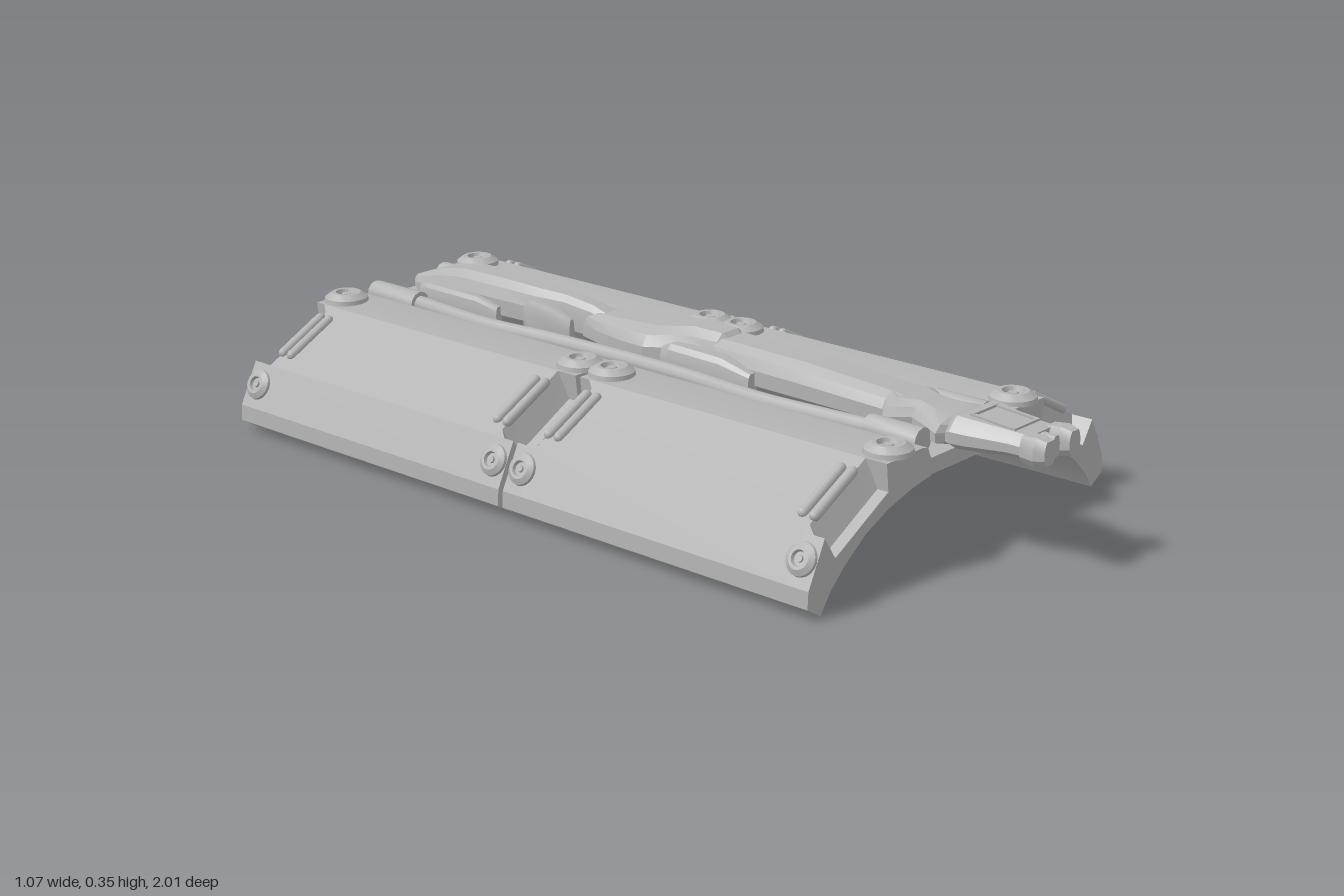
import * as THREE from 'three';
import { toCreasedNormals } from 'three/addons/utils/BufferGeometryUtils.js';

const grey = new THREE.MeshStandardMaterial({ color: 0xb4b4b4 });
grey.name = 'plain grey';

function add(parent, name, geometry) {
  const mesh = new THREE.Mesh(geometry, grey);
  mesh.name = name;
  parent.add(mesh);
  return mesh;
}

// Closed solid through counter-clockwise [x, y] sections, stations ordered by rising z
function loft(stations, crease = 0.4) {
  const pos = [], idx = [], n = stations[0].points.length;
  for (const s of stations) for (const [x, y] of s.points) pos.push(x, y, s.z);
  for (let s = 0; s < stations.length - 1; s++) {
    for (let i = 0; i < n; i++) {
      const a = s * n + i, b = s * n + (i + 1) % n;
      idx.push(a, b, b + n, a, b + n, a + n);
    }
  }
  const last = (stations.length - 1) * n;
  const cap = (s) => THREE.ShapeUtils.triangulateShape(s.points.map(([x, y]) => new THREE.Vector2(x, y)), []);
  for (const [a, b, c] of cap(stations[0])) idx.push(a, c, b);
  for (const [a, b, c] of cap(stations[stations.length - 1])) idx.push(last + a, last + b, last + c);
  const g = new THREE.BufferGeometry();
  g.setAttribute('position', new THREE.Float32BufferAttribute(pos, 3));
  g.setIndex(idx);
  return toCreasedNormals(g, crease);
}

// Bevelled body from rows of [z, halfWidth, bottom, top]; cx shifts it sideways
function body(rows, cx = 0, flat = 0.5) {
  return loft(rows.map(([z, w, y0, y1]) => {
    const h = y1 - y0, m = w * flat;
    return { z, points: [
      [cx - m, y0], [cx + m, y0], [cx + w, y0 + h * 0.25], [cx + w, y0 + h * 0.6],
      [cx + w * 0.83, y0 + h * 0.85], [cx + m, y1], [cx - m, y1], [cx - w * 0.83, y0 + h * 0.85],
      [cx - w, y0 + h * 0.6], [cx - w, y0 + h * 0.25]] };
  }), 0.35);
}

// Underside of the arch
const inner = [[0.13, 0.201], [0.2, 0.189], [0.275, 0.168], [0.35, 0.135], [0.42, 0.085], [0.465, 0.042], [0.495, 0]];

// Wing section, with or without the end notch
function wingPoints(side, notched) {
  const notch = notched ? [[0.45, 0.112], [0.278, 0.205]] : [[0.465, 0.175], [0.305, 0.257]];
  const pts = [...inner, [0.537, 0.026], [0.535, 0.065], [0.485, 0.165], ...notch,
    [0.285, 0.268], [0.165, 0.27], [0.145, 0.266], [0.13, 0.235]];
  return side > 0 ? pts : pts.map(([x, y]) => [-x, y]).reverse();
}

const boltProfile = [[0.055, 0], [0.053, 0.011], [0.036, 0.023], [0.026, 0.023], [0.022, 0.012], [0.012, 0.012], [0.011, 0.019], [0, 0.019]]
  .map(([x, y]) => new THREE.Vector2(x, y)).reverse();
const boltGeometry = new THREE.LatheGeometry(boltProfile.slice().reverse(), 20);
const bolt = toCreasedNormals(boltGeometry, 0.4);

function addBolt(parent, x, y, z, tilt, scale) {
  const m = add(parent, 'bolt', bolt);
  m.position.set(x, y, z);
  m.rotation.z = tilt;
  m.scale.setScalar(scale);
}

function buildPlate(z0, z1, holeZ) {
  const plate = new THREE.Group();
  plate.name = 'armourPlate';

  // Middle channel with a round hole
  const shape = new THREE.Shape([[-0.14, z0], [0.14, z0], [0.14, z1], [-0.14, z1]].map(([x, y]) => new THREE.Vector2(x, y)));
  const hole = new THREE.Path();
  hole.absarc(0, holeZ, 0.112, 0, Math.PI * 2, true);
  shape.holes.push(hole);
  const slab = new THREE.ExtrudeGeometry(shape, { depth: 0.037, bevelEnabled: false, curveSegments: 24 });
  slab.rotateX(Math.PI / 2);
  add(plate, 'channelFloor', slab).position.y = 0.24;

  for (const side of [1, -1]) {
    const full = wingPoints(side, false), cut = wingPoints(side, true);
    add(plate, 'wing', loft([
      { z: z0, points: cut }, { z: z0 + 0.028, points: cut }, { z: z0 + 0.055, points: full },
      { z: z1 - 0.055, points: full }, { z: z1 - 0.028, points: cut }, { z: z1, points: cut }]));

    for (const [end, dir] of [[z0, 1], [z1, -1]]) {
      addBolt(plate, side * 0.225, 0.268, end + dir * 0.042, 0, 1);
      addBolt(plate, side * 0.508, 0.117, end + dir * 0.038, -side * 1.1, 0.68);
      // Grip bars beside each notch
      for (const inset of [0.058, 0.088]) {
        const bar = add(plate, 'gripBar', new THREE.CapsuleGeometry(0.012, 0.135, 4, 10));
        bar.position.set(side * 0.385, 0.218, end + dir * inset);
        bar.rotation.z = side * (Math.PI / 2 - 0.473);
      }
    }

    // Underside ribs following the arch
    for (const t of [0.3, 0.42]) {
      const z = z0 + (z1 - z0) * t;
      const rib = inner.slice(2, 5);
      const points = [...rib.map(([x, y]) => [x - 0.004, y - 0.006]), ...rib.slice().reverse()];
      const p = side > 0 ? points : points.map(([x, y]) => [-x, y]).reverse();
      add(plate, 'undersideRib', loft([{ z, points: p }, { z: z + 0.012, points: p }]));
    }
    // Underside panel border
    const border = add(plate, 'panelBorder', new THREE.BoxGeometry(0.008, 0.006, z1 - z0 - 0.12));
    border.position.set(side * 0.165, 0.194, (z0 + z1) / 2);
  }
  for (const z of [z0 + 0.06, z1 - 0.06]) {
    add(plate, 'panelBorder', new THREE.BoxGeometry(0.27, 0.006, 0.008)).position.set(0, 0.201, z);
  }
  return plate;
}

function buildCentrepiece() {
  const g = new THREE.Group();
  g.name = 'centrepiece';

  // Long rounded front shaft and its collars
  add(g, 'frontShaft', body([[0.06, 0.05, 0.24, 0.335], [0.1, 0.066, 0.24, 0.342], [0.35, 0.07, 0.24, 0.338],
    [0.58, 0.068, 0.24, 0.325], [0.66, 0.055, 0.24, 0.31], [0.78, 0.05, 0.245, 0.3]]));
  add(g, 'shaftCollar', body([[0.58, 0.06, 0.24, 0.325], [0.61, 0.1, 0.24, 0.318], [0.66, 0.06, 0.24, 0.318],
    [0.7, 0.075, 0.24, 0.312], [0.75, 0.1, 0.245, 0.306], [0.77, 0.06, 0.245, 0.3]]));

  // Flared nose with a top frame and a forked tip
  add(g, 'nose', body([[0.765, 0.085, 0.248, 0.31], [0.78, 0.094, 0.247, 0.32], [0.81, 0.09, 0.248, 0.318],
    [0.91, 0.068, 0.255, 0.31], [0.95, 0.066, 0.255, 0.308]], 0, 0.7));
  for (const s of [1, -1]) {
    const bar = add(g, 'noseFrame', new THREE.BoxGeometry(0.009, 0.008, 0.105));
    bar.position.set(s * 0.042, 0.315, 0.855);
    bar.rotation.x = 0.08;
    add(g, 'tipProng', body([[0.94, 0.023, 0.253, 0.31], [0.975, 0.027, 0.25, 0.314], [1, 0.02, 0.256, 0.308]], s * 0.046, 0.6));
  }
  for (const z of [0.803, 0.908]) add(g, 'noseFrame', new THREE.BoxGeometry(0.092, 0.008, 0.009)).position.set(0, z < 0.85 ? 0.32 : 0.311, z);
  add(g, 'tipCore', body([[0.94, 0.012, 0.258, 0.305], [0.985, 0.012, 0.258, 0.305]]));

  // Wedge-shaped hub with side lugs
  add(g, 'hub', body([[-0.33, 0.035, 0.24, 0.32], [-0.28, 0.05, 0.24, 0.322], [-0.16, 0.09, 0.24, 0.335],
    [-0.08, 0.1, 0.24, 0.34], [-0.04, 0.085, 0.24, 0.345], [0.02, 0.07, 0.24, 0.355], [0.1, 0.055, 0.24, 0.352], [0.12, 0.04, 0.24, 0.335]]));
  for (const s of [1, -1]) {
    add(g, 'hubLug', body([[-0.03, 0.02, 0.24, 0.31], [0, 0.03, 0.24, 0.322], [0.15, 0.03, 0.24, 0.318], [0.23, 0.016, 0.24, 0.295]], s * 0.075));
    add(g, 'tailClamp', body([[-0.5, 0.012, 0.24, 0.315], [-0.47, 0.018, 0.24, 0.325], [-0.4, 0.015, 0.24, 0.315], [-0.35, 0.008, 0.24, 0.3]], s * 0.052));
    add(g, 'tailSleeve', body([[-0.85, 0.012, 0.24, 0.3], [-0.82, 0.022, 0.24, 0.308], [-0.65, 0.018, 0.24, 0.305], [-0.58, 0.01, 0.24, 0.29]], s * 0.068));
  }

  // Tapered tail
  add(g, 'tail', body([[-0.93, 0.022, 0.262, 0.296], [-0.9, 0.042, 0.255, 0.308], [-0.82, 0.056, 0.24, 0.335],
    [-0.74, 0.062, 0.24, 0.35], [-0.6, 0.064, 0.24, 0.352], [-0.48, 0.055, 0.24, 0.348],
    [-0.4, 0.036, 0.24, 0.345], [-0.31, 0.034, 0.24, 0.335], [-0.26, 0.03, 0.24, 0.318]]));

  // Bowed side rails with socket ends
  const path = [[-0.97, 0.112], [-0.8, 0.115], [-0.7, 0.125], [-0.55, 0.135], [-0.35, 0.118], [-0.1, 0.112],
    [0.1, 0.118], [0.3, 0.135], [0.5, 0.125], [0.7, 0.112]];
  for (const s of [1, -1]) {
    const curve = new THREE.CatmullRomCurve3(path.map(([z, x]) => new THREE.Vector3(s * x, 0.264, z)));
    add(g, 'sideRail', new THREE.TubeGeometry(curve, 48, 0.02, 10, false));
    for (const [z, len] of [[-0.89, 0.16], [0.66, 0.14]]) {
      const socket = toCreasedNormals(new THREE.CylinderGeometry(0.03, 0.03, len, 12).rotateX(Math.PI / 2), 0.6);
      add(g, 'railSocket', socket).position.set(s * 0.115, 0.264, z);
    }
  }
  return g;
}

export function createModel() {
  const model = new THREE.Group();
  model.name = 'curvedArmour';
  model.add(buildPlate(-1, -0.114, -0.55), buildPlate(-0.1, 0.765, 0.305), buildCentrepiece());
  return model;
}
